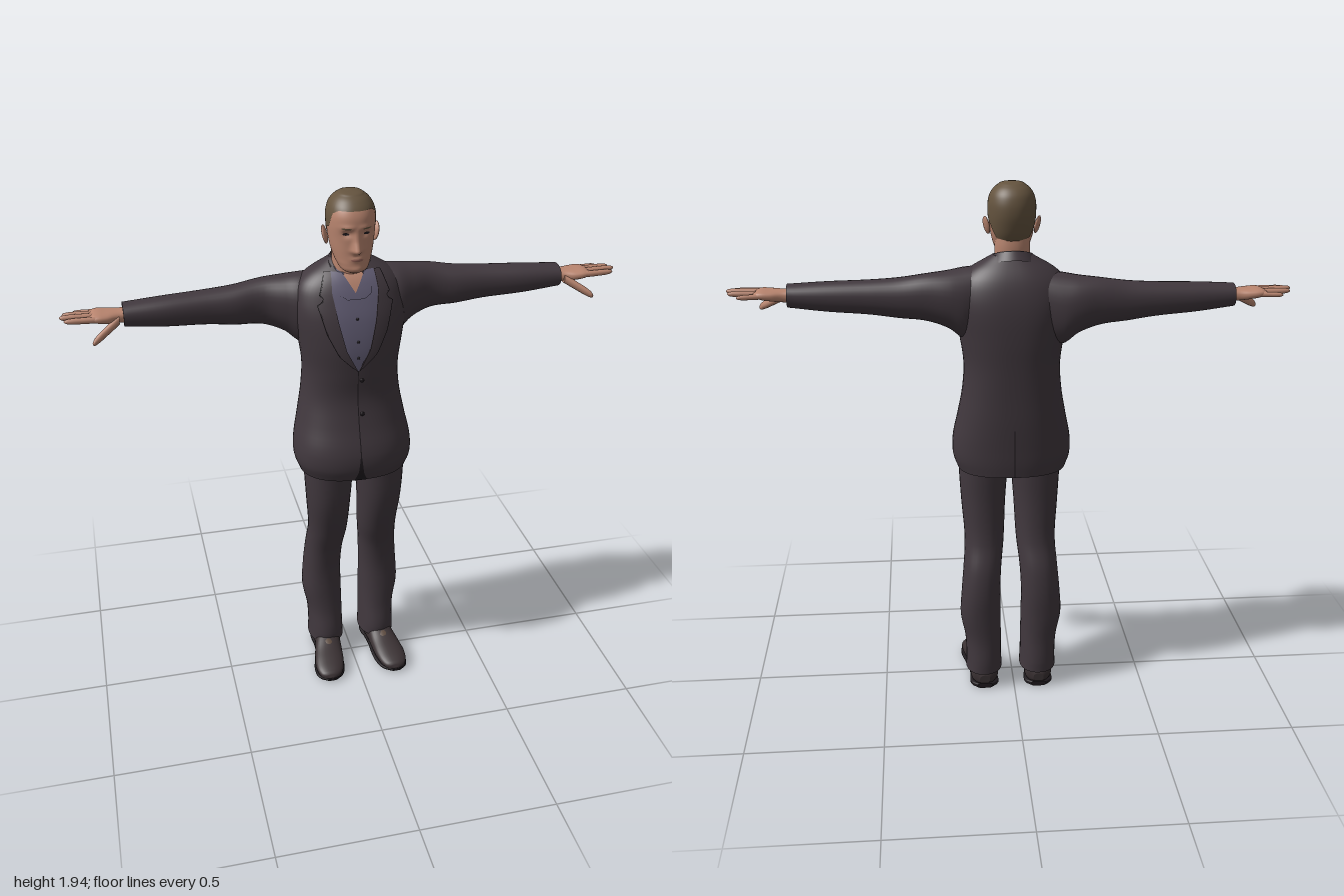
import * as THREE from 'three';

const mat = (name, color, side = THREE.DoubleSide) => {
  const m = new THREE.MeshStandardMaterial({ color, side });
  m.name = name;
  return m;
};
const jacket = mat('charcoalCloth', 0x41383e), shirt = mat('greyBlueShirt', 0x625d74);
const skin = mat('skin', 0xb9856f), hair = mat('brownHair', 0x65543f);
const shoe = mat('darkLeather', 0x3a3133), tongue = mat('brownLeather', 0x5c4a3e);
const trim = mat('darkTrim', 0x1f1a1e), lip = mat('lips', 0x98655a);

const lerp = THREE.MathUtils.lerp;
const gauss = (d, w) => Math.exp(-(d * d) / (w * w));
const spow = (v, n) => Math.sign(v) * Math.pow(Math.abs(v), 2 / n);

// Piecewise linear function through [key, value] pairs
const lin = (pts) => (k) => {
  for (let i = 1; i < pts.length; i++) {
    if (k <= pts[i][0]) {
      const t = (k - pts[i - 1][0]) / (pts[i][0] - pts[i - 1][0]);
      return lerp(pts[i - 1][1], pts[i][1], Math.max(0, t));
    }
  }
  return pts[pts.length - 1][1];
};

// Smooth curve through rows of [key, centre1, centre2, radius1, radius2]
const spline = (rows) => {
  const f = new THREE.CubicInterpolant(
    new Float32Array(rows.map((r) => r[0])), new Float32Array(rows.flatMap((r) => r.slice(1))), 4);
  return (k) => Array.from(f.evaluate(k));
};

// Grid surface from a rule point(u, v); optional closed loop, end caps and mirrored winding
function surface(name, material, point, nu, nv, { closed = false, caps = false, flip = false } = {}) {
  const pos = [], idx = [], w = closed ? nu : nu + 1;
  const tri = (a, b, c) => (flip ? idx.push(a, c, b) : idx.push(a, b, c));
  for (let j = 0; j <= nv; j++) for (let i = 0; i < w; i++) pos.push(...point(i / nu, j / nv));
  for (let j = 0; j < nv; j++) for (let i = 0; i < nu; i++) {
    const a = j * w + i, b = j * w + ((i + 1) % w);
    tri(a, b, b + w);
    tri(a, b + w, a + w);
  }
  if (caps) for (const v of [0, 1]) {
    const base = pos.length / 3, mid = [0, 0, 0];
    for (let i = 0; i < nu; i++) {
      const p = point(i / nu, v);
      pos.push(...p);
      p.forEach((c, k) => (mid[k] += c / nu));
    }
    pos.push(...mid);
    for (let i = 0; i < nu; i++) {
      const a = base + i, b = base + ((i + 1) % nu);
      v ? tri(a, b, base + nu) : tri(b, a, base + nu);
    }
  }
  const g = new THREE.BufferGeometry();
  g.setAttribute('position', new THREE.Float32BufferAttribute(pos, 3));
  g.setIndex(idx);
  g.computeVertexNormals();
  const mesh = new THREE.Mesh(g, material);
  mesh.name = name;
  return mesh;
}

// Rounded body along an axis, mirrored in x when s is -1
function loft(name, material, axis, rows, { s = 1, n = 2.2, seg = 32, sub = 5 } = {}) {
  const f = spline(rows), count = rows.length - 1;
  return surface(name, material, (u, v) => {
    const i = Math.min(count - 1, Math.floor(v * count + 1e-6));
    const k = lerp(rows[i][0], rows[i + 1][0], v * count - i);
    const [c1, c2, r1, r2] = f(k);
    const c = spow(Math.cos(u * 2 * Math.PI), n), d = spow(Math.sin(u * 2 * Math.PI), n);
    if (axis === 'y') return [s * (c1 + r1 * d), k, c2 + r2 * c];
    if (axis === 'x') return [s * k, c1 + r1 * c, c2 + r2 * d];
    return [s * (c1 + r1 * c), c2 + r2 * d, k];
  }, seg, count * sub, { closed: true, caps: true, flip: s < 0 });
}

function ball(name, material, p, r, rotation = [0, 0, 0]) {
  const m = new THREE.Mesh(new THREE.SphereGeometry(1, 20, 14), material);
  m.name = name;
  m.position.set(...p);
  m.scale.set(...r);
  m.rotation.set(...rotation);
  return m;
}

// Jacket body: [y, front z, back z, half width]
const torsoRows = [
  [0.895, 0.145, -0.172, 0.2], [0.94, 0.158, -0.177, 0.216], [1.0, 0.156, -0.18, 0.217], [1.1, 0.125, -0.184, 0.198],
  [1.2, 0.102, -0.185, 0.18], [1.3, 0.105, -0.187, 0.174], [1.4, 0.107, -0.19, 0.187], [1.5, 0.092, -0.187, 0.203],
  [1.56, 0.073, -0.177, 0.2], [1.61, 0.052, -0.16, 0.182], [1.645, 0.03, -0.14, 0.145], [1.675, 0.0, -0.115, 0.095],
  [1.69, -0.02, -0.1, 0.07],
].map(([y, f, b, r]) => [y, 0.003, (f + b) / 2, r, (f - b) / 2]);
const torsoAt = spline(torsoRows), TORSO_N = 2.4;

// Thin plate that follows the jacket body, on its front (side 1) or back (side -1)
function bodyPatch(name, material, y0, y1, xa, xb, off, side = 1) {
  return surface(name, material, (u, v) => {
    const y = lerp(y0, y1, v), x = lerp(xa(y), xb(y), u);
    const [cx, cz, rx, rz] = torsoAt(y);
    const k = Math.max(0, 1 - Math.pow(Math.abs(x - cx) / rx, TORSO_N));
    return [x, y, cz + side * (rz * Math.pow(k, 1 / TORSO_N) + off)];
  }, 10, 30, { flip: side < 0 });
}

// Open band around the neck, gap at the front
function collar(name, material, start, top, bottom, drop) {
  return surface(name, material, (u, v) => {
    const a = lerp(start, 2 * Math.PI - start, u), r = lerp(bottom, top, v);
    const y = 1.682 - 0.027 * Math.cos(a) - drop * (1 - v) * (1 + 0.35 * Math.cos(a));
    return [r * Math.sin(a), y, -0.03 + r * 1.02 * Math.cos(a)];
  }, 40, 6);
}

// Head: [y, front z, back z, half width]
const headAt = spline([
  [1.668, 0.068, 0.02, 0.022], [1.676, 0.08, -0.0, 0.04], [1.7, 0.085, -0.04, 0.057], [1.72, 0.084, -0.065, 0.065],
  [1.75, 0.084, -0.086, 0.073], [1.79, 0.084, -0.1, 0.079], [1.83, 0.087, -0.107, 0.082], [1.87, 0.081, -0.104, 0.08],
  [1.9, 0.063, -0.091, 0.068], [1.92, 0.038, -0.068, 0.047], [1.929, 0.015, -0.045, 0.027], [1.932, -0.014, -0.016, 0.001],
].map(([y, f, b, r]) => [y, 0, (f + b) / 2, r, (f - b) / 2]));
const nose = lin([[1.735, 0], [1.743, 0.5], [1.752, 1], [1.785, 0.45], [1.815, 0.12], [1.83, 0]]);
function headPoint(a, y, off = 0) {
  const [, cz, rx, rz] = headAt(y);
  const x = rx * spow(Math.sin(a), 2.2);
  let z = cz + rz * spow(Math.cos(a), 2.2);
  if (Math.cos(a) > 0) {
    const ax = Math.abs(x);
    z += 0.029 * nose(y) * gauss(x, 0.009 + 0.007 * nose(y));
    z -= 0.009 * gauss(ax - 0.031, 0.016) * gauss(y - 1.81, 0.012);
    z += 0.004 * gauss(ax - 0.03, 0.025) * gauss(y - 1.832, 0.009);
    z += 0.005 * gauss(x, 0.022) * gauss(y - 1.722, 0.009);
    z += 0.004 * gauss(x, 0.02) * gauss(y - 1.685, 0.01);
  }
  const k = 1 + off / 0.09;
  return [x * k, 1.8 + (y - 1.8) * k, -0.01 + (z + 0.01) * k];
}
// Small elliptical face plate centred at angle a
const facePlate = (name, material, a, y, wa, h) => surface(name, material, (u, v) =>
  headPoint(a + wa * (2 * u - 1), y + h * (2 * v - 1) * Math.sqrt(Math.max(0, 1 - (2 * u - 1) ** 2)), 0.0012), 12, 4);

function buildHead() {
  const g = new THREE.Group();
  g.name = 'head';
  const ease = (v) => Math.sin((v * Math.PI) / 2);
  g.add(surface('face', skin, (u, v) => headPoint(u * 2 * Math.PI, lerp(1.668, 1.932, ease(v))), 96, 80, { closed: true, caps: true }));
  const hairline = lin([[0, 1.884], [0.75, 1.884], [1.05, 1.872], [1.3, 1.825], [1.6, 1.815], [1.95, 1.79], [2.3, 1.75], [3.15, 1.738]]);
  g.add(surface('hair', hair, (u, v) => {
    const a = u * 2 * Math.PI;
    return headPoint(a, lerp(hairline(Math.min(a, 2 * Math.PI - a)), 1.932, ease(v)), 0.0025);
  }, 96, 30, { closed: true }));
  g.add(loft('neck', skin, 'y', [[1.56, 0, -0.04, 0.06, 0.055], [1.63, 0, -0.03, 0.062, 0.06], [1.68, 0, -0.028, 0.062, 0.058],
    [1.72, 0, -0.03, 0.062, 0.055], [1.76, 0, -0.03, 0.06, 0.05]]));
  g.add(facePlate('mouth', lip, 0, 1.721, 0.3, 0.005));
  for (const s of [1, -1]) {
    g.add(facePlate('eye', trim, s * 0.42, 1.809, 0.15, 0.0045));
    g.add(facePlate('eyebrow', hair, s * 0.42, 1.829, 0.23, 0.003));
    g.add(ball('ear', skin, [s * 0.089, 1.785, -0.018], [0.008, 0.033, 0.019], [-0.15, s * 0.5, -s * 0.2]));
  }
  return g;
}

function buildJacket() {
  const g = new THREE.Group();
  g.name = 'suitJacket';
  g.add(loft('jacketBody', jacket, 'y', torsoRows, { n: TORSO_N, seg: 56 }));
  const zero = () => 0;
  const open = lin([[1.32, 0.002], [1.4, 0.042], [1.5, 0.066], [1.6, 0.082], [1.66, 0.076]]);
  const lapel = lin([[1.32, 0.004], [1.38, 0.066], [1.46, 0.105], [1.56, 0.132], [1.575, 0.105], [1.59, 0.122], [1.66, 0.098]]);
  const throat = lin([[1.595, 0], [1.66, 0.04]]);
  g.add(bodyPatch('shirtFront', shirt, 1.32, 1.66, (y) => -open(y), open, 0.004));
  g.add(bodyPatch('openThroat', skin, 1.595, 1.66, (y) => -throat(y), throat, 0.007));
  g.add(collar('shirtCollar', shirt, 0.5, 0.066, 0.082, 0.05));
  g.add(collar('jacketCollar', jacket, 1.25, 0.073, 0.098, 0.045));
  for (const s of [1, -1]) {
    g.add(bodyPatch('lapel', jacket, 1.32, 1.66, (y) => s * open(y), (y) => s * lapel(y), 0.009));
    g.add(bodyPatch('lapelEdge', trim, 1.33, 1.655, (y) => s * lapel(y), (y) => s * (lapel(y) + 0.003), 0.007));
    g.add(bodyPatch('collarWing', shirt, 1.575, 1.66, (y) => s * throat(y),
      (y) => s * lin([[1.575, 0.03], [1.59, 0.055], [1.66, 0.072]])(y), 0.009));
  }
  // Front closing with the cutaway at the hem, back vent and buttons
  const gap = lin([[0.896, 0.024], [0.93, 0.01], [1.0, 0.002], [1.32, 0.0015]]);
  g.add(bodyPatch('frontOpening', trim, 0.896, 1.32, (y) => -gap(y), gap, 0.002));
  g.add(bodyPatch('backVent', trim, 0.896, 1.08, zero, () => 0.004, 0.002, -1));
  for (const y of [1.585, 1.51, 1.43, 1.37]) g.add(ball('shirtButton', trim, [0, y, torsoAt(y)[1] + torsoAt(y)[3] + 0.005], [0.005, 0.005, 0.003]));
  for (const y of [1.15, 1.28]) g.add(ball('jacketButton', trim, [0.014, y, torsoAt(y)[1] + torsoAt(y)[3] + 0.002], [0.008, 0.008, 0.004]));
  return g;
}

function buildArm(s) {
  const g = new THREE.Group();
  g.name = s > 0 ? 'leftArm' : 'rightArm';
  g.position.set(0, s * 0.009, s * 0.014);
  // [x, top, bottom, front z, back z]
  const rows = [[0.08, 1.645, 1.44, -0.01, -0.14], [0.17, 1.638, 1.385, 0.02, -0.165], [0.225, 1.63, 1.425, 0.0, -0.166],
    [0.3, 1.622, 1.455, -0.025, -0.156], [0.4, 1.607, 1.466, -0.02, -0.144], [0.5, 1.6, 1.479, -0.02, -0.134],
    [0.65, 1.594, 1.49, -0.012, -0.122], [0.785, 1.586, 1.506, -0.011, -0.11],
  ].map(([x, t, b, f, k]) => [x, (t + b) / 2, (f + k) / 2, (t - b) / 2, (f - k) / 2]);
  g.add(loft('sleeve', jacket, 'x', rows, { s }));
  g.add(loft('palm', skin, 'x', [[0.76, 1.545, -0.058, 0.024, 0.034], [0.8, 1.546, -0.056, 0.022, 0.036], [0.84, 1.549, -0.053, 0.02, 0.049],
    [0.88, 1.553, -0.052, 0.016, 0.051], [0.9, 1.554, -0.052, 0.007, 0.042]], { s, n: 2.5 }));
  const finger = (name, [x0, y0, z0], [x1, y1, z1], r) => g.add(loft(name, skin, 'x',
    [[0, 1], [0.5, 0.95], [0.85, 0.8], [0.96, 0.5], [1, 0.12]].map(([t, k]) =>
      [lerp(x0, x1, t), lerp(y0, y1, t), lerp(z0, z1, t), r * k, r * k]), { s, n: 2, seg: 12, sub: 3 }));
  finger('indexFinger', [0.865, 1.553, -0.013], [0.983, 1.556, -0.012], 0.0115);
  finger('middleFinger', [0.87, 1.555, -0.04], [0.998, 1.56, -0.038], 0.012);
  finger('ringFinger', [0.87, 1.554, -0.066], [0.989, 1.557, -0.07], 0.0115);
  finger('littleFinger', [0.86, 1.551, -0.09], [0.955, 1.55, -0.103], 0.01);
  finger('thumb', [0.8, 1.54, -0.03], [0.897, 1.484, 0.03], 0.017);
  return g;
}

function buildLeg(s) {
  const g = new THREE.Group();
  g.name = s > 0 ? 'leftLeg' : 'rightLeg';
  g.position.x = 0.01;
  g.add(loft('trouserLeg', jacket, 'y', [[0.068, 0.105, -0.066, 0.07, 0.093], [0.11, 0.105, -0.066, 0.068, 0.094],
    [0.2, 0.107, -0.072, 0.069, 0.083], [0.3, 0.116, -0.078, 0.077, 0.08], [0.4, 0.114, -0.08, 0.074, 0.08],
    [0.5, 0.107, -0.067, 0.072, 0.082], [0.6, 0.098, -0.036, 0.074, 0.085], [0.75, 0.099, -0.01, 0.083, 0.099],
    [0.9, 0.097, -0.005, 0.092, 0.105], [1.0, 0.092, 0, 0.092, 0.108]], { s }));
  g.add(loft('shoeUpper', shoe, 'z', [[-0.144, 0.105, 0.036, 0.02, 0.018], [-0.13, 0.105, 0.048, 0.044, 0.038], [-0.08, 0.105, 0.056, 0.052, 0.048],
    [0, 0.11, 0.055, 0.051, 0.048], [0.06, 0.119, 0.043, 0.056, 0.036], [0.12, 0.127, 0.034, 0.057, 0.027],
    [0.165, 0.131, 0.026, 0.045, 0.019], [0.183, 0.132, 0.022, 0.028, 0.013], [0.19, 0.132, 0.02, 0.008, 0.004]], { s, n: 2.4 }));
  g.add(loft('sole', trim, 'z', [[-0.148, 0.105, 0.012, 0.028, 0.01], [-0.125, 0.105, 0.01, 0.05, 0.01], [-0.075, 0.106, 0.01, 0.054, 0.01],
    [-0.055, 0.107, 0.013, 0.052, 0.006], [0, 0.111, 0.012, 0.05, 0.006], [0.06, 0.119, 0.009, 0.058, 0.007], [0.12, 0.127, 0.008, 0.06, 0.007],
    [0.17, 0.131, 0.01, 0.044, 0.006], [0.191, 0.132, 0.012, 0.018, 0.005]], { s, n: 4 }));
  g.add(ball('shoeTongue', tongue, [s * 0.115, 0.073, 0.035], [0.032, 0.016, 0.045], [0.4, 0, 0]));
  return g;
}

export function createModel() {
  const model = new THREE.Group();
  model.name = 'manInSuit';
  model.add(buildHead(), buildJacket());
  for (const s of [1, -1]) model.add(buildArm(s), buildLeg(s));
  return model;
}
